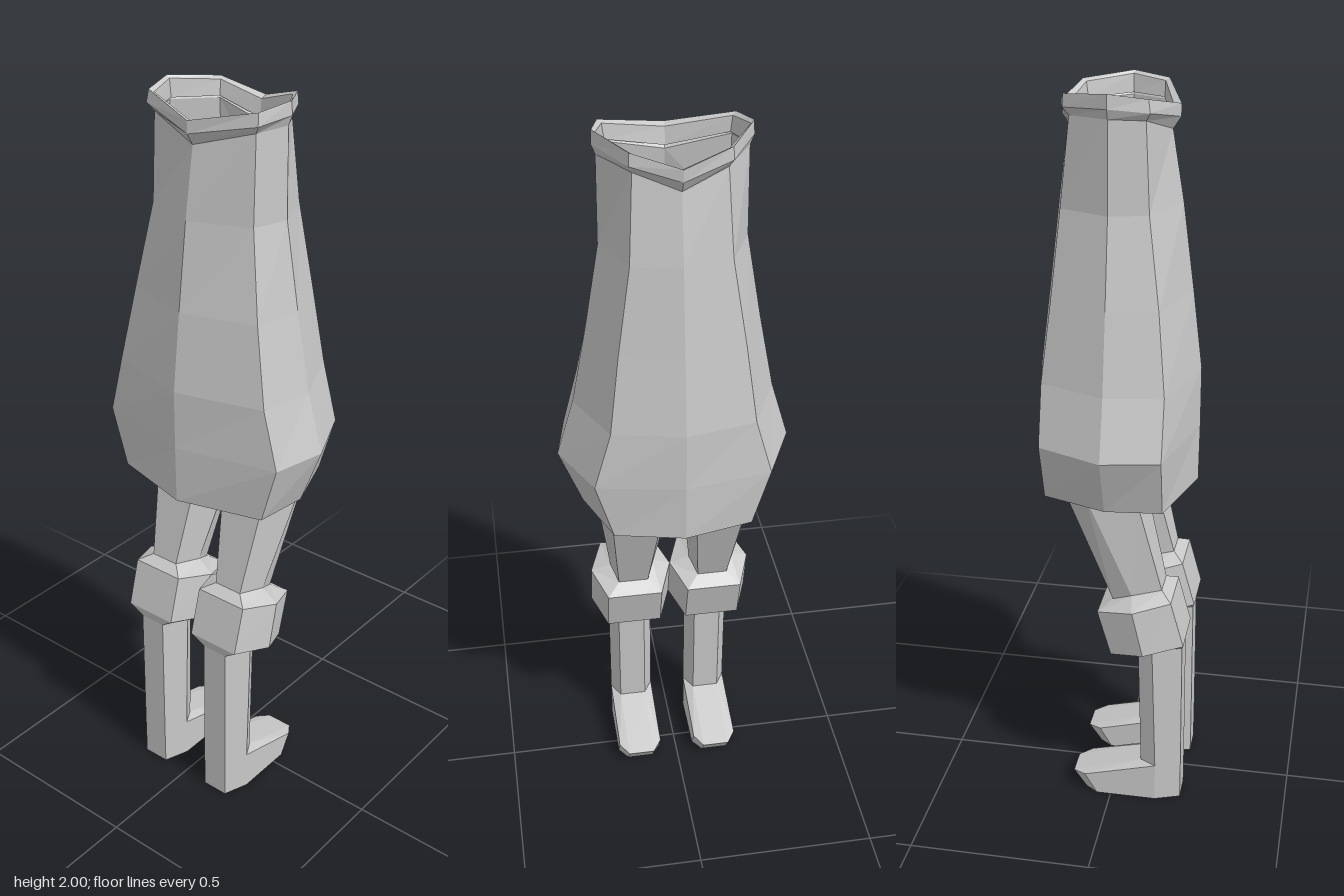
import * as THREE from 'three';
import { ConvexGeometry } from 'three/addons/geometries/ConvexGeometry.js';

const grey = new THREE.MeshStandardMaterial({ color: 0xc8c8c8, side: THREE.DoubleSide });
grey.name = 'plain grey';

// Faceted skin over closed rings, listed from bottom to top
function loft(rings) {
  const pos = [];
  const n = rings[0].length;
  for (let i = 0; i < rings.length - 1; i++) {
    for (let j = 0; j < n; j++) {
      const k = (j + 1) % n;
      const a = rings[i][j], b = rings[i][k], c = rings[i + 1][k], d = rings[i + 1][j];
      pos.push(...a, ...b, ...c, ...a, ...c, ...d);
    }
  }
  const g = new THREE.BufferGeometry();
  g.setAttribute('position', new THREE.Float32BufferAttribute(pos, 3));
  g.computeVertexNormals();
  return g;
}

function part(name, geometry) {
  const mesh = new THREE.Mesh(geometry, grey);
  mesh.name = name;
  return mesh;
}

// Eight-sided ring: heights at centre, corner and side, then the outline
function gownRing([yc, yk, ys], front, [fx, fz], side, [bx, bz], back) {
  return [
    [0, yc, front], [fx, yk, fz], [side, ys, 0], [bx, yk, bz],
    [0, yc, back], [-bx, yk, bz], [-side, ys, 0], [-fx, yk, fz],
  ];
}

// Six-sided ring: face half width w, full half width m, then [y, z] of front, middle, back
function legRing(w, m, [yf, zf], [ym, zm], [yb, zb]) {
  return [[-w, yf, zf], [w, yf, zf], [m, ym, zm], [w, yb, zb], [-w, yb, zb], [-m, ym, zm]];
}

function createLeg(name) {
  const leg = new THREE.Group();
  leg.name = name;

  // Thigh leans back towards the hip and is open at the top
  const kneeTop = legRing(0.042, 0.06, [0.68, 0.14], [0.665, 0.06], [0.64, 0.005]);
  leg.add(part('thigh', loft([
    kneeTop,
    legRing(0.07, 0.1, [0.965, 0.072], [0.965, -0.055], [0.965, -0.118]),
  ])));

  // Tilted, bevelled knee
  const kneeBottom = legRing(0.038, 0.063, [0.5, 0.198], [0.5, 0.118], [0.49, 0.075]);
  leg.add(part('knee', loft([
    kneeBottom,
    legRing(0.077, 0.115, [0.53, 0.206], [0.51, 0.1], [0.485, 0.005]),
    legRing(0.077, 0.115, [0.66, 0.17], [0.64, 0.07], [0.615, -0.032]),
    kneeTop,
  ])));

  // Straight shin
  leg.add(part('shin', loft([
    legRing(0.038, 0.063, [0.115, 0.2], [0.115, 0.13], [0.115, 0.085]),
    kneeBottom,
  ])));

  // Foot with the toe pointing to the back
  const foot = [];
  for (const s of [-1, 1]) {
    for (const [x, y, z] of [
      [0.038, 0, 0.2], [0.063, 0, 0.13], [0.063, 0, -0.04], [0.038, 0, -0.075],
      [0.038, 0.115, 0.2], [0.063, 0.115, 0.13], [0.038, 0.115, 0.085],
      [0.063, 0.06, -0.075], [0.038, 0.053, -0.112],
    ]) foot.push(new THREE.Vector3(s * x, y, z));
  }
  leg.add(part('foot', new ConvexGeometry(foot)));
  return leg;
}

export function createModel() {
  const model = new THREE.Group();
  model.name = 'gownAndLegs';

  // Bell-shaped gown, open at hem and neck
  const neck = gownRing([1.89, 1.935, 1.94], 0.13, [0.157, 0.088], 0.184, [0.113, -0.108], -0.13);
  const level = (y) => [y, y, y];
  model.add(part('gown', loft([
    gownRing(level(0.95), 0.213, [0.235, 0.15], 0.25, [0.185, -0.173], -0.215),
    gownRing(level(1.11), 0.215, [0.282, 0.152], 0.312, [0.232, -0.175], -0.217),
    gownRing(level(1.27), 0.215, [0.24, 0.152], 0.265, [0.187, -0.175], -0.215),
    gownRing(level(1.48), 0.19, [0.2, 0.13], 0.225, [0.16, -0.152], -0.188),
    gownRing(level(1.71), 0.16, [0.16, 0.098], 0.186, [0.125, -0.131], -0.16),
    neck,
  ])));

  // Rolled collar dipping at front and back
  model.add(part('collar', loft([
    neck,
    gownRing([1.92, 1.955, 1.965], 0.15, [0.172, 0.1], 0.194, [0.122, -0.122], -0.15),
    gownRing([1.952, 1.987, 2.0], 0.15, [0.168, 0.095], 0.192, [0.12, -0.12], -0.152),
    gownRing([1.945, 1.98, 1.992], 0.132, [0.158, 0.086], 0.184, [0.112, -0.11], -0.133),
    gownRing([1.9, 1.94, 1.945], 0.126, [0.153, 0.085], 0.18, [0.11, -0.105], -0.127),
  ])));

  // Pair of legs
  for (const [name, s] of [['leftLeg', 1], ['rightLeg', -1]]) {
    const leg = createLeg(name);
    leg.position.x = s * 0.115;
    model.add(leg);
  }
  return model;
}
